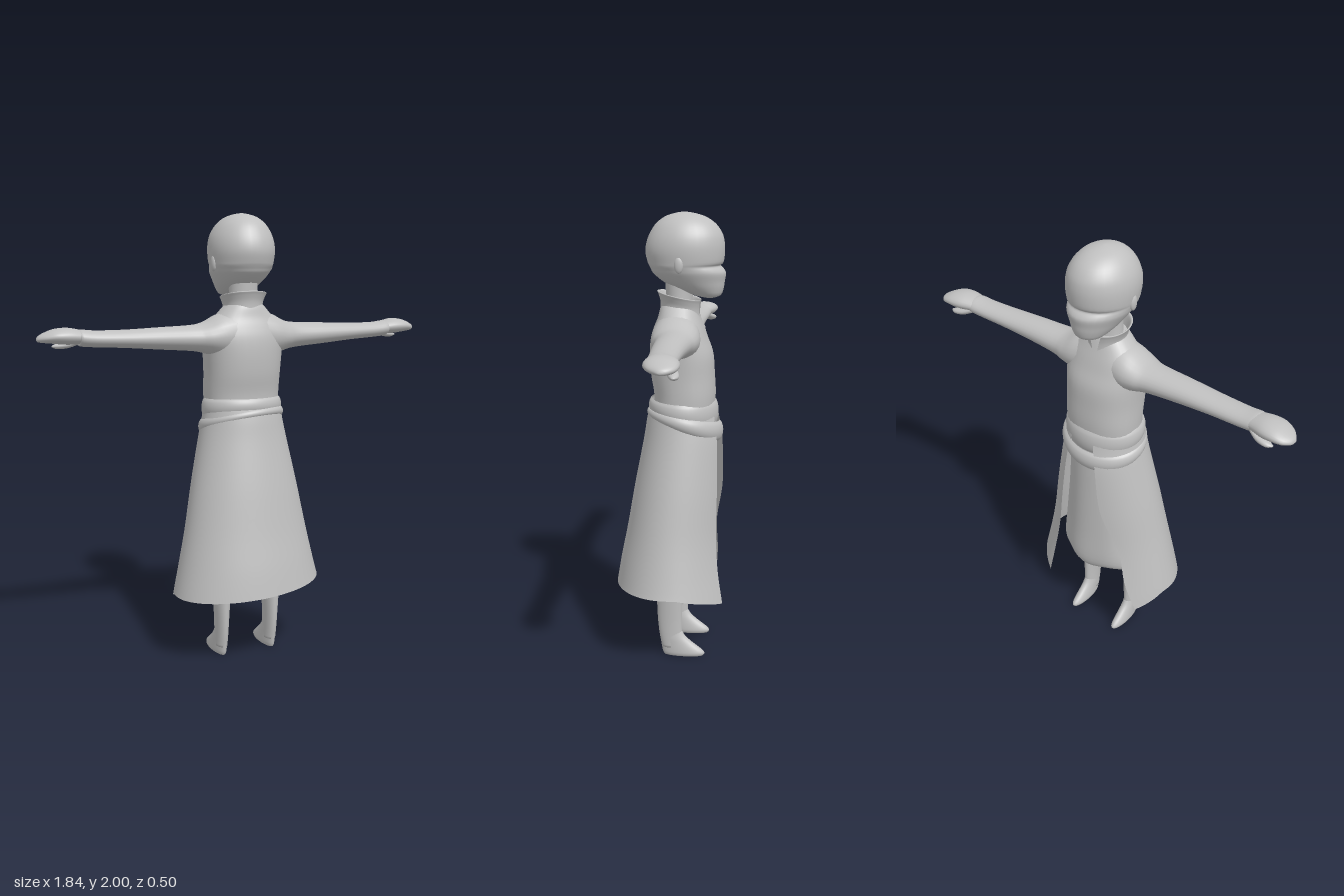
import * as THREE from 'three';

const { sin, cos, PI } = Math;
const lerp = THREE.MathUtils.lerp;

// Catmull-Rom value of a table of rows at u in 0..1
function sampleRows(rows, u) {
  const f = u * (rows.length - 1);
  const i = Math.min(Math.floor(f), rows.length - 2), t = f - i;
  const at = k => rows[Math.max(0, Math.min(rows.length - 1, k))];
  return rows[0].map((_, c) => {
    const [a, b, d, e] = [at(i - 1)[c], at(i)[c], at(i + 1)[c], at(i + 2)[c]];
    return b + 0.5 * t * (d - a + t * (2 * a - 5 * b + 4 * d - e + t * (3 * (b - d) + e - a)));
  });
}

// Smooth skin through rings of points
function loft(rings, { closed = true, caps = true } = {}) {
  const n = rings[0].length, pos = rings.flat(2), index = [];
  const cols = closed ? n : n - 1;
  for (let i = 0; i < rings.length - 1; i++) {
    for (let j = 0; j < cols; j++) {
      const k = (j + 1) % n, a = i * n + j, b = i * n + k;
      index.push(a, b, b + n, a, b + n, a + n);
    }
  }
  if (caps && closed) {
    [0, rings.length - 1].forEach((r, end) => {
      const c = pos.length / 3;
      pos.push(...[0, 1, 2].map(x => rings[r].reduce((s, p) => s + p[x], 0) / n));
      for (let j = 0; j < n; j++) {
        const a = r * n + j, b = r * n + (j + 1) % n;
        index.push(...(end ? [c, a, b] : [c, b, a]));
      }
    });
  }
  const g = new THREE.BufferGeometry();
  g.setAttribute('position', new THREE.Float32BufferAttribute(pos, 3));
  g.setIndex(index);
  g.computeVertexNormals();
  return g;
}

const range = (n, f) => Array.from({ length: n }, (_, i) => f(i / (n - 1)));
const around = (n, f) => Array.from({ length: n }, (_, i) => f(i / n * 2 * PI));

// Upright body: rows are [y, half width, back z, face z], optional centre x
function column(rows, steps = 30, x = 0, power = 1) {
  const soft = v => Math.sign(v) * Math.abs(v) ** power;
  return loft(range(steps, u => {
    const [y, rx, zb, zf] = sampleRows(rows, u);
    return around(32, t => [x + rx * soft(sin(t)), y, (zb + zf) / 2 + (zb - zf) / 2 * soft(cos(t))]);
  }));
}

// Sideways limb: rows are [x, bottom y, top y, back z, face z]
function limb(rows, side, steps = 30) {
  const rings = range(steps, u => {
    const [x, y0, y1, zb, zf] = sampleRows(rows, u);
    return around(24, t => [side * x, (y0 + y1) / 2 + (y1 - y0) / 2 * cos(t),
      (zb + zf) / 2 + (zb - zf) / 2 * sin(t)]);
  });
  return loft(side > 0 ? rings : rings.reverse());
}

export function createModel() {
  const model = new THREE.Group();
  model.name = 'robedFigure';
  const clay = new THREE.MeshStandardMaterial({ color: 0xc0c0c0, side: THREE.DoubleSide });
  clay.name = 'clayGrey';
  const add = (name, geometry) => {
    const mesh = new THREE.Mesh(geometry, clay);
    mesh.name = name;
    model.add(mesh);
    return mesh;
  };

  // Head with brow, eye hollow and chin, facing -z
  add('head', column([
    [1.638, 0.03, -0.14, -0.19], [1.65, 0.062, -0.09, -0.215], [1.68, 0.09, -0.01, -0.226],
    [1.71, 0.11, 0.045, -0.23], [1.742, 0.128, 0.082, -0.235], [1.76, 0.134, 0.092, -0.226],
    [1.775, 0.138, 0.1, -0.212], [1.79, 0.141, 0.106, -0.224], [1.83, 0.145, 0.115, -0.229],
    [1.87, 0.143, 0.111, -0.228], [1.91, 0.132, 0.096, -0.218], [1.95, 0.108, 0.07, -0.19],
    [1.98, 0.074, 0.03, -0.145], [1.995, 0.035, -0.015, -0.095], [2, 0.006, -0.045, -0.06],
  ], 48));
  add('neck', column([[1.52, 0.075, 0.03, -0.1], [1.62, 0.065, 0.025, -0.09], [1.72, 0.066, 0.03, -0.1]], 8));

  // Tunic body
  add('tunic', column([
    [1.08, 0.165, 0.08, -0.185], [1.2, 0.172, 0.075, -0.195], [1.3, 0.174, 0.09, -0.19],
    [1.39, 0.18, 0.095, -0.182], [1.46, 0.185, 0.09, -0.157], [1.51, 0.17, 0.076, -0.14],
    [1.55, 0.135, 0.06, -0.125], [1.59, 0.098, 0.05, -0.11], [1.61, 0.08, 0.04, -0.1],
  ], 32, 0, 0.88));

  // Standing collar, split at the throat
  const collarRows = [[1.54, 0.118, 0.058, -0.14, 3.1], [1.58, 0.092, 0.05, -0.126, 3.02],
    [1.62, 0.089, 0.05, -0.124, 2.92], [1.65, 0.099, 0.058, -0.128, 2.84], [1.665, 0.106, 0.064, -0.132, 2.78],
    [1.66, 0.096, 0.052, -0.12, 2.78], [1.61, 0.078, 0.04, -0.112, 2.95]];
  add('collar', loft(range(25, u => {
    const [y, rx, zb, zf, end] = sampleRows(collarRows, u);
    return range(41, w => {
      const t = lerp(-end, end, w);
      return [rx * sin(t), y - 0.02 * (1 - cos(t)), (zb + zf) / 2 + (zb - zf) / 2 * cos(t)];
    });
  }), { closed: false }));

  for (const [side, word] of [[1, 'left'], [-1, 'right']]) {
    // Sleeves, hands and thumbs
    add(word + 'Sleeve', limb([
      [0.06, 1.36, 1.585, 0.075, -0.13], [0.13, 1.375, 1.562, 0.075, -0.138], [0.19, 1.394, 1.532, 0.064, -0.13],
      [0.25, 1.406, 1.52, 0.045, -0.115], [0.4, 1.418, 1.514, 0.034, -0.105], [0.55, 1.43, 1.508, 0.022, -0.103],
      [0.68, 1.437, 1.508, 0.012, -0.106], [0.745, 1.443, 1.514, 0.006, -0.108], [0.75, 1.455, 1.505, -0.008, -0.098],
    ], side));
    add(word + 'Hand', limb([
      [0.7, 1.455, 1.5, -0.01, -0.095], [0.75, 1.452, 1.514, 0, -0.112], [0.8, 1.451, 1.522, 0.005, -0.13],
      [0.85, 1.456, 1.517, 0.001, -0.134], [0.89, 1.46, 1.502, -0.02, -0.125], [0.915, 1.464, 1.488, -0.05, -0.1],
      [0.922, 1.47, 1.476, -0.065, -0.08],
    ], side, 24));
    add(word + 'Thumb', limb([
      [0.735, 1.452, 1.48, -0.06, -0.1], [0.78, 1.434, 1.465, -0.075, -0.122],
      [0.825, 1.43, 1.455, -0.09, -0.128], [0.85, 1.438, 1.444, -0.104, -0.114],
    ], side, 10));

    // Legs and pointed feet
    add(word + 'Leg', column([
      [0.04, 0.026, 0.03, -0.06], [0.1, 0.027, 0.042, -0.062], [0.18, 0.03, 0.05, -0.062],
      [0.3, 0.038, 0.055, -0.064], [0.45, 0.047, 0.06, -0.07], [0.65, 0.058, 0.06, -0.08],
    ], 20, side * 0.124));
    add(word + 'Foot', column([
      [0, 0.025, 0.02, -0.16], [0.012, 0.03, 0.026, -0.167], [0.03, 0.03, 0.03, -0.152],
      [0.06, 0.028, 0.035, -0.112], [0.09, 0.027, 0.04, -0.078], [0.12, 0.025, 0.042, -0.06],
    ], 14, side * 0.124));

    // Small flat ears
    const ear = add(word + 'Ear', new THREE.SphereGeometry(1, 12, 10));
    ear.scale.set(0.012, 0.036, 0.02);
    ear.position.set(side * 0.137, 1.785, -0.045);
  }

  // Inner skirt with a gathered, uneven hem
  const innerRows = [[0.41, 0.195, 0.14, -0.165], [0.4, 0.215, 0.155, -0.19], [0.45, 0.228, 0.163, -0.208],
    [0.6, 0.212, 0.15, -0.202], [0.8, 0.185, 0.12, -0.196], [1.0, 0.165, 0.09, -0.19], [1.1, 0.155, 0.07, -0.18]];
  add('innerSkirt', loft(range(26, u => {
    const [y, rx, zb, zf] = sampleRows(innerRows, u);
    return around(48, t => {
      const fold = 1 + 0.025 * (1 - u) * sin(7 * t);
      return [rx * sin(t) * fold, y + 0.012 * (1 - u) * cos(5 * t), (zb + zf) / 2 + (zb - zf) / 2 * cos(t) * fold];
    });
  }), { caps: false }));

  // Long outer skirt open toward -z: [y, half width, back z, face z, centre z, left edge, right edge]
  const skirtRows = [
    [0.33, 0.345, 0.25, -0.3, 0, 2.56, 2.23], [0.45, 0.318, 0.23, -0.27, -0.005, 2.57, 2.38],
    [0.6, 0.286, 0.2, -0.25, -0.01, 2.6, 2.45], [0.8, 0.248, 0.165, -0.245, -0.025, 2.62, 2.72],
    [1.0, 0.206, 0.126, -0.235, -0.04, 2.65, 2.78], [1.1, 0.186, 0.11, -0.215, -0.045, 2.7, 2.85],
    [1.17, 0.176, 0.095, -0.2, -0.05, 2.8, 2.9]];
  add('outerSkirt', loft(range(31, u => {
    const [y, rx, zb, zf, zc, left, right] = sampleRows(skirtRows, u);
    const hem = (1 - u) ** 4;
    return range(61, w => {
      const t = lerp(-right, left, w);
      const tip = Math.max(0, Math.abs(t) - 1.75);
      const drop = 0.024 * sin(t) - (t > 0 ? 0.065 : 0.13) * tip;
      const c = cos(t);
      return [rx * sin(t), y + hem * drop, zc + c * (c > 0 ? zb - zc : zc - zf)];
    });
  }), { closed: false }));

  // Sash in two rolls that sag toward -z
  const roll = (name, back, face, rx, zb, zf, bulge, lean) => add(name, loft(range(11, v => around(48, t => {
    const f = (1 - cos(t)) / 2, b = bulge * sin(PI * v) ** 0.6;
    const y = lerp(lerp(back[0], face[0], f), lerp(back[1], face[1], f), v) + lean * sin(t);
    return [(rx + b) * sin(t), y, (zb + zf) / 2 + ((zb - zf) / 2 + b) * cos(t)];
  })), { caps: false }));
  roll('upperSash', [1.13, 1.195], [1.075, 1.185], 0.172, 0.088, -0.195, 0.014, 0);
  roll('lowerSash', [1.11, 1.15], [1.0, 1.09], 0.18, 0.092, -0.213, 0.018, 0.018);

  return model;
}
